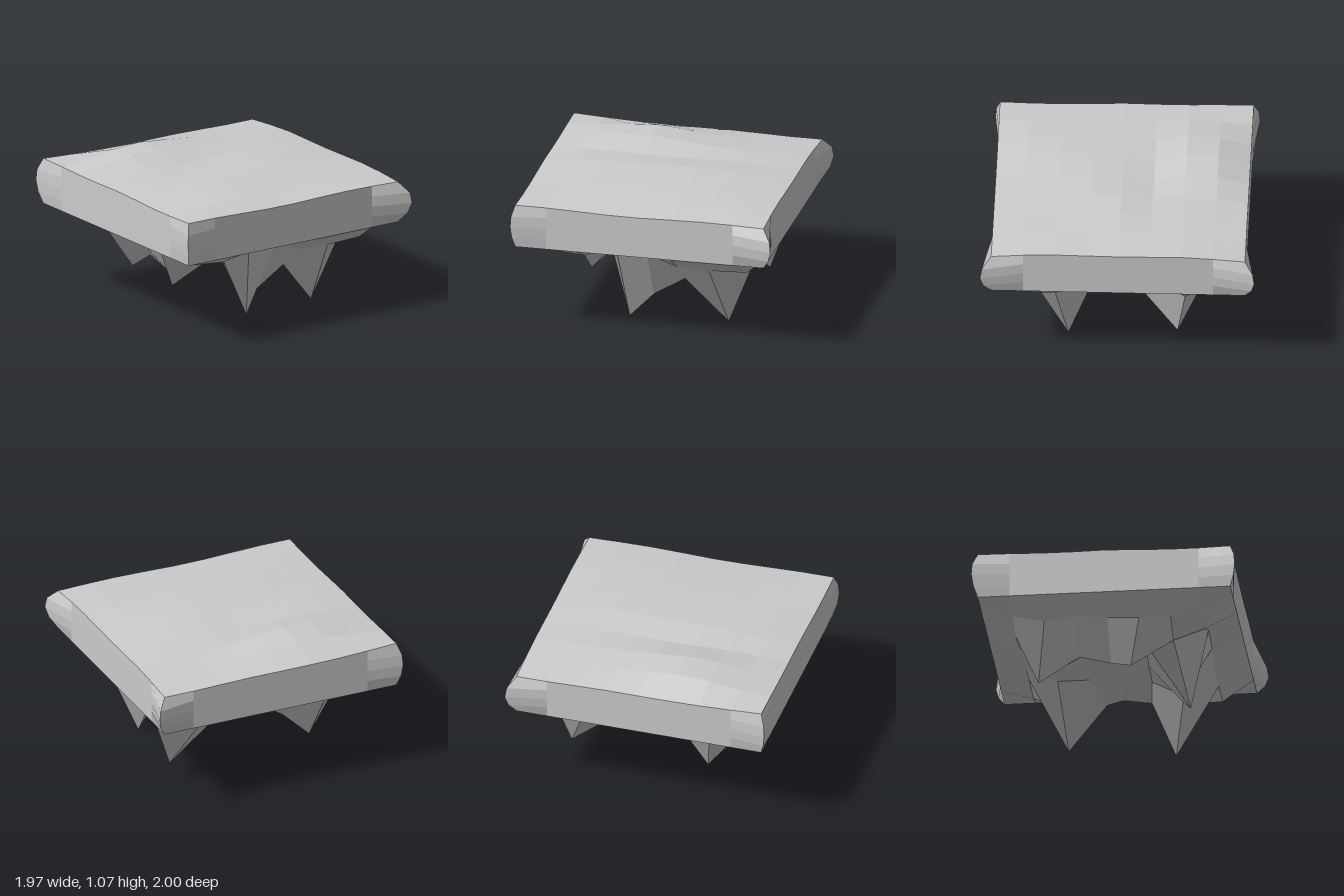
import * as THREE from 'three';

const N = 8; // cells along each side of the slab
const RIM = 0.66; // height of the lower rim
const gridX = i => -0.95 + 1.86 * i / N;
const gridZ = j => -0.93 + 1.85 * j / N;

// Faceted sheet of quads through point(i, j), one normal per quad
function sheet(name, nu, nv, point, flip = false) {
  const pos = [], normals = [];
  const at = (i, j) => new THREE.Vector3(...point(i, j));
  for (let j = 0; j < nv; j++) for (let i = 0; i < nu; i++) {
    let q = [at(i, j), at(i, j + 1), at(i + 1, j + 1), at(i + 1, j)];
    if (flip) q.reverse();
    const n = q[2].clone().sub(q[0]).cross(q[3].clone().sub(q[1])).normalize();
    // Fold along the higher diagonal so that each low tip stands alone
    if (q[1].y + q[3].y > q[0].y + q[2].y) q = [q[1], q[2], q[3], q[0]];
    for (const k of [0, 1, 2, 0, 2, 3]) {
      pos.push(...q[k].toArray());
      normals.push(...n.toArray());
    }
  }
  const geo = new THREE.BufferGeometry();
  geo.setAttribute('position', new THREE.Float32BufferAttribute(pos, 3));
  geo.setAttribute('normal', new THREE.Float32BufferAttribute(normals, 3));
  const mesh = new THREE.Mesh(geo, new THREE.MeshStandardMaterial({ color: 0xcccccc }));
  mesh.name = name;
  return mesh;
}

// Gently rolling ground with a ridge near the back
function groundHeight(x, z) {
  const fx = 1 - (x / 0.95) ** 2, fz = 1 - (z / 0.93) ** 2;
  const dome = 0.06 * fx * fz;
  const ridge = 0.075 * Math.exp(-(((x + 0.3) / 0.45) ** 2) - ((z + 0.6) / 0.18) ** 2);
  const trough = -0.02 * fx * Math.exp(-(((z + 0.25) / 0.1) ** 2));
  const left = 0.02 * Math.max(0, -x) * (1 - 0.5 * z);
  const right = 0.02 * Math.max(0, x) * fz;
  const ripple = 0.006 * Math.sin(6 * z + 5 * x);
  return 0.97 + dome + ridge + trough + left + right + ripple;
}

// Heights of the inner underside points, back row first
const underside = [
  [0.60, 0.54, 0.57, 0.60, 0.60, 0.63, 0.61],
  [0.55, 0.19, 0.35, 0.50, 0.50, 0.13, 0.55],
  [0.58, 0.36, 0.47, 0.46, 0.50, 0.41, 0.64],
  [0.56, 0.30, 0.45, 0.43, 0.45, 0.43, 0.63],
  [0.55, 0.24, 0.55, 0.48, 0.46, 0.40, 0.60],
  [0.55, 0.53, 0.05, 0.20, 0.34, 0.00, 0.51],
  [0.57, 0.545, 0.64, 0.60, 0.52, 0.51, 0.52],
];

// Sideways positions of the hanging rock tips and shifted points, keyed by column,row
const shifted = {
  '2,2': [-0.43, -0.54], '6,2': [0.64, -0.43], '2,5': [-0.56, 0.15],
  '3,6': [-0.18, 0.55], '6,6': [0.52, 0.37], '7,2': [0.79, -0.49],
  '2,6': [-0.34, 0.44], '6,3': [0.47, -0.13], '6,5': [0.45, 0.2], '1,7': [-0.75, 0.69],
};

function undersidePoint(i, j) {
  if (i % N === 0 || j % N === 0) return [gridX(i), RIM, gridZ(j)];
  const [x, z] = shifted[`${i},${j}`] ?? [gridX(i) + (i === 7 ? 0.05 : 0), gridZ(j)];
  return [x, underside[j - 1][i - 1], z];
}

// Walls run once round the rim; only the four corners bulge outward
const bulge = [0, 0.7, 1, 0.85, 0];
const corners = [[0.07, 0.08], [-0.03, 0.035], [-0.035, -0.045], [0.07, -0.07]];
function wallPoint(k, row) {
  const side = Math.floor(k / N) % 4, s = k % N;
  const [i, j] = [[N - s, N], [0, N - s], [s, 0], [N, s]][side];
  let x = gridX(i), z = gridZ(j);
  const y = THREE.MathUtils.lerp(RIM, groundHeight(x, z), row / 4);
  if (s === 0) {
    x += corners[side][0] * bulge[row];
    z += corners[side][1] * bulge[row];
  }
  return [x, y, z];
}

export function createModel() {
  const island = new THREE.Group();
  island.name = 'floatingIsland';
  island.add(
    sheet('ground', N, N, (i, j) => [gridX(i), groundHeight(gridX(i), gridZ(j)), gridZ(j)]),
    sheet('sideWalls', 4 * N, 4, wallPoint),
    sheet('hangingRocks', N, N, undersidePoint, true),
  );
  return island;
}
